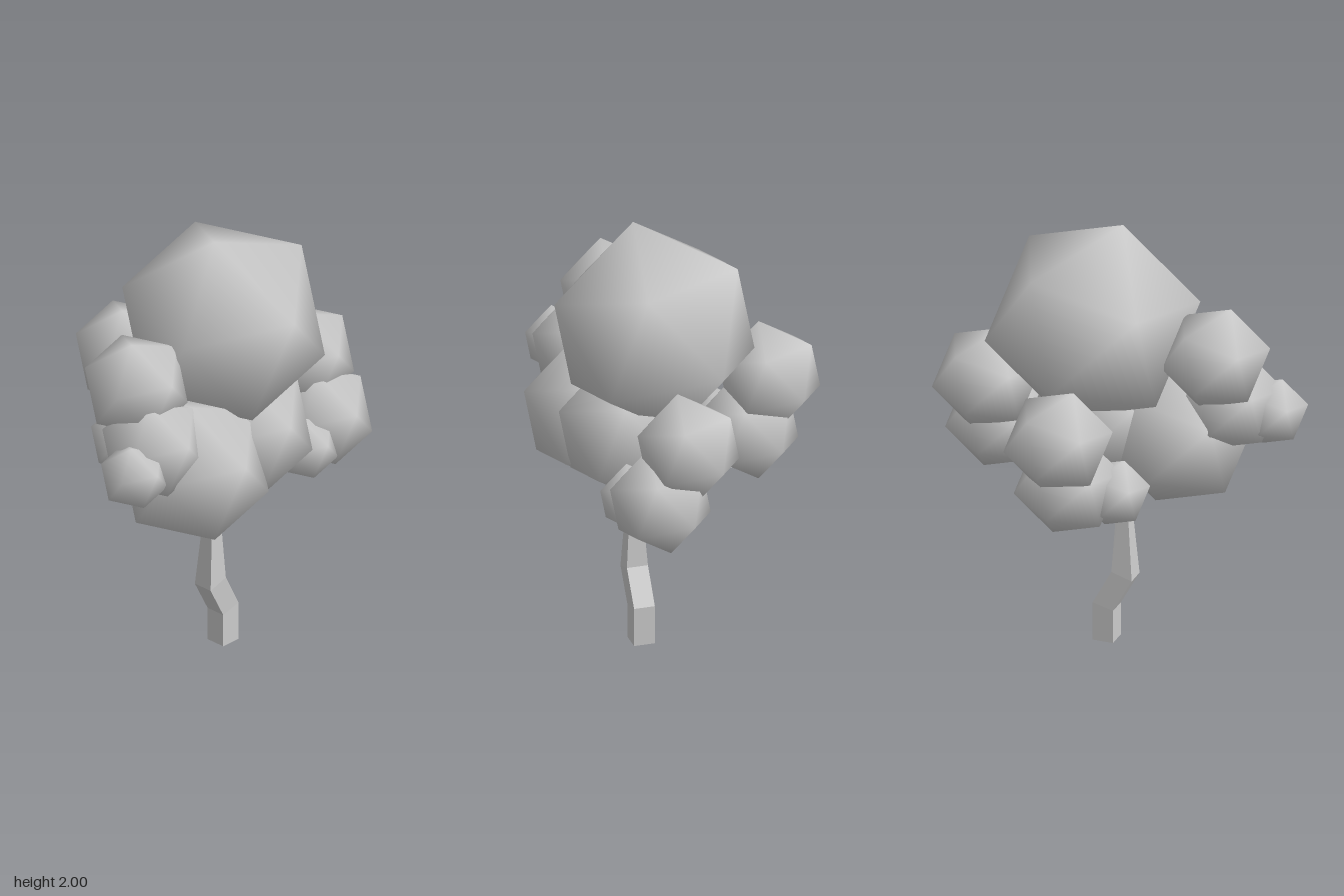
import * as THREE from 'three';
import { mergeVertices } from 'three/addons/utils/BufferGeometryUtils.js';

const material = new THREE.MeshStandardMaterial({ color: 0xcccccc });
const barkMaterial = new THREE.MeshStandardMaterial({ color: 0xcccccc, flatShading: true });

// Smooth-shaded unit icosahedron, tilted so that one of its faces has the given corners
function leafGeometry() {
  const t = (1 + Math.sqrt(5)) / 2;
  const basis = (...v) => new THREE.Matrix4().makeBasis(...v.map((p) => new THREE.Vector3(...p).normalize()));
  const from = basis([-1, t, 0], [-t, 0, 1], [0, 1, t]);
  const to = basis([0.94, 0.334, 0.042], [0.125, 0.96, 0.25], [0.376, 0.188, 0.908]);
  let geometry = new THREE.IcosahedronGeometry(1, 0);
  geometry.deleteAttribute('normal');
  geometry.deleteAttribute('uv');
  geometry = mergeVertices(geometry, 1e-4);
  geometry.applyMatrix4(to.multiply(from.invert()));
  geometry.computeVertexNormals();
  return geometry;
}

// Four-sided limb lofted through rings of four corners (counter-clockwise seen from the ring after)
function limb(rings, name) {
  const positions = rings.flat(2);
  const index = [];
  for (let i = 0; i < rings.length - 1; i++) {
    for (let j = 0; j < 4; j++) {
      const a = i * 4 + j, b = i * 4 + (j + 1) % 4;
      index.push(a, b, b + 4, a, b + 4, a + 4);
    }
  }
  const e = (rings.length - 1) * 4;
  index.push(0, 2, 1, 0, 3, 2, e, e + 1, e + 2, e, e + 2, e + 3);
  const geometry = new THREE.BufferGeometry();
  geometry.setAttribute('position', new THREE.Float32BufferAttribute(positions, 3));
  geometry.setIndex(index);
  const flat = geometry.toNonIndexed();
  flat.computeVertexNormals();
  const mesh = new THREE.Mesh(flat, barkMaterial);
  mesh.name = name;
  return mesh;
}

// Upright ring: x range, z range, and heights of its front and back edges
const trunkRing = (x0, x1, zBack, zFront, yFront, yBack) => [
  [x0, yFront, zFront], [x1, yFront, zFront], [x1, yBack, zBack], [x0, yBack, zBack],
];

// Sideways ring for a limb running toward -x
const branchRing = (x, y, z, h) => [
  [x, y - h, z - h], [x, y - h, z + h], [x, y + h, z + h], [x, y + h, z - h],
].reverse();

export function createModel() {
  const tree = new THREE.Group();
  tree.name = 'tree';

  // Kinked, tapering trunk
  tree.add(limb([
    trunkRing(0.137, 0.232, -0.095, 0, 0, 0),
    trunkRing(0.137, 0.232, -0.095, 0, 0.155, 0.18),
    trunkRing(0.142, 0.238, -0.01, 0.085, 0.31, 0.34),
    trunkRing(0.182, 0.208, 0.015, 0.04, 0.85, 0.85),
  ], 'trunk'));

  // Thin side branch toward the outer foliage
  tree.add(limb([
    branchRing(0.2, 0.87, 0.025, 0.014),
    branchRing(-0.18, 0.77, -0.01, 0.011),
    branchRing(-0.28, 0.785, -0.03, 0.008),
  ], 'branch'));

  // Foliage clumps: name, x, y, z, radius
  const leaf = leafGeometry();
  const clumps = [
    ['crownFoliage', 0.14, 1.54, -0.097, 0.479],
    ['frontFoliage', 0.29, 1.01, 0.245, 0.355],
    ['centreFoliage', 0.25, 1.066, -0.09, 0.34],
  ];
  // Each outer cluster is an upper, a lower and a small clump
  const clusters = [
    ['front', [0.16, 1.45, 0.47], [0.283, 1.2, 0.49], [0.34, 1.148, 0.667]],
    ['right', [-0.4, 1.207, -0.05], [-0.305, 0.965, -0.04], [-0.225, 0.918, 0.147]],
    ['back', [0.14, 1.185, -0.592], [0.264, 0.938, -0.58], [0.333, 0.878, -0.405]],
  ];
  for (const [side, upper, lower, small] of clusters) {
    clumps.push([side + 'UpperFoliage', ...upper, 0.243]);
    clumps.push([side + 'LowerFoliage', ...lower, 0.241]);
    clumps.push([side + 'SmallFoliage', ...small, 0.158]);
  }
  for (const [name, x, y, z, radius] of clumps) {
    const mesh = new THREE.Mesh(leaf, material);
    mesh.name = name;
    mesh.position.set(x, y, z);
    mesh.scale.setScalar(radius);
    tree.add(mesh);
  }
  return tree;
}
